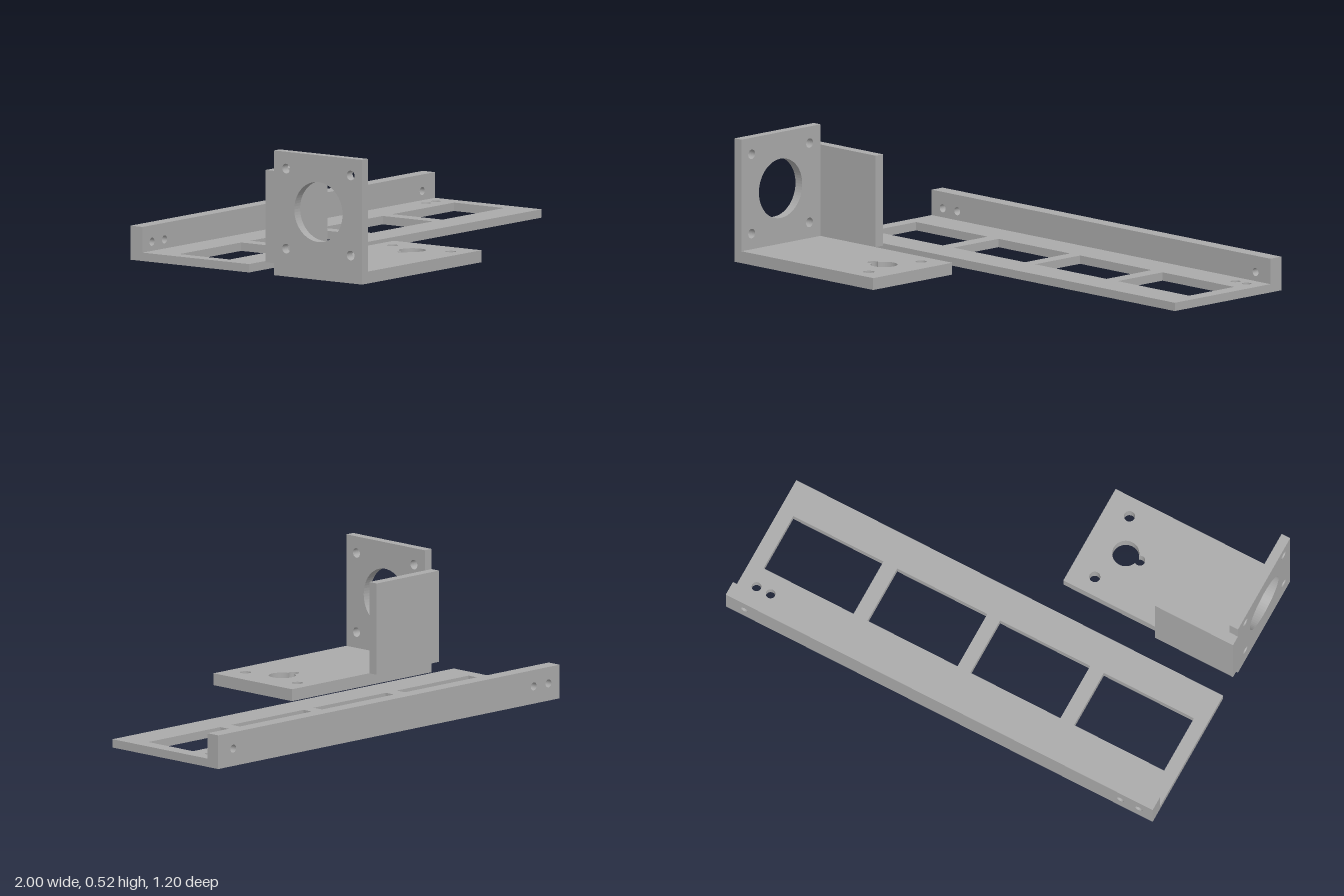
import * as THREE from 'three';

const greyMetal = new THREE.MeshStandardMaterial({ color: 0xaaaaaa });
greyMetal.name = 'greyMetal';

// Closed rectangle on a Shape or Path
function rect(path, x0, y0, x1, y1) {
  path.moveTo(x0, y0);
  path.lineTo(x1, y0);
  path.lineTo(x1, y1);
  path.lineTo(x0, y1);
  path.closePath();
  return path;
}

const windowHole = (x0, y0, x1, y1) => rect(new THREE.Path(), x0, y0, x1, y1);
const roundHole = (x, y, r) => new THREE.Path().absarc(x, y, r, 0, Math.PI * 2, false);

// Large round hole merged with a small one on its -x side
function keyhole(x, y, R, r, d) {
  const a = (d * d + R * R - r * r) / (2 * d);
  const h = Math.sqrt(R * R - a * a);
  const big = Math.atan2(h, a);
  const small = Math.atan2(h, d - a);
  const path = new THREE.Path();
  path.absarc(x, y, R, -Math.PI + big, Math.PI - big, false);
  path.absarc(x - d, y, r, small, Math.PI * 2 - small, false);
  return path;
}

// Flat plate with holes, extruded along z
function plate(name, bounds, depth, holes) {
  const shape = rect(new THREE.Shape(), ...bounds);
  shape.holes.push(...holes);
  const geometry = new THREE.ExtrudeGeometry(shape, { depth, bevelEnabled: false, curveSegments: 32 });
  const mesh = new THREE.Mesh(geometry, greyMetal);
  mesh.name = name;
  return mesh;
}

// Long angled rail: slotted floor and upright back flange
function createRail() {
  const rail = new THREE.Group();
  rail.name = 'slottedRail';

  // Floor is drawn as (x, -z), then laid flat
  const windows = [-0.941, -0.455, 0.027, 0.514].map(x => windowHole(x, 0.13, x + 0.422, 0.39));
  const floorHoles = [0.857, 0.923].map(x => roundHole(x, 0.475, 0.02));
  const floor = plate('railFloor', [-1, -0.015, 1, 0.537], 0.035, [...windows, ...floorHoles]);
  floor.geometry.rotateX(-Math.PI / 2);

  const flangeHoles = [-0.935, -0.849, 0.912].map(x => roundHole(x, 0.073, 0.017));
  const flange = plate('railFlange', [-1, 0, 1, 0.142], 0.063, flangeHoles);
  flange.position.z = -0.6;

  rail.add(floor, flange);
  return rail;
}

// Motor bracket: base, upright mounting wall and rear side plate
function createBracket() {
  const bracket = new THREE.Group();
  bracket.name = 'motorBracket';

  const base = plate('bracketBase', [-0.96, -0.6, -0.182, -0.144], 0.05, [
    keyhole(-0.353, -0.37, 0.056, 0.022, 0.066),
    roundHole(-0.289, -0.219, 0.023),
    roundHole(-0.289, -0.521, 0.023),
  ]);
  base.geometry.rotateX(-Math.PI / 2);

  // Wall is drawn as (-z, y), then turned to face sideways
  const wallHoles = [roundHole(-0.374, 0.283, 0.125)];
  for (const z of [0.207, 0.541])
    for (const y of [0.116, 0.45]) wallHoles.push(roundHole(-z, y, 0.02));
  const wall = plate('mountingWall', [-0.6, 0, -0.144, 0.52], 0.04, wallHoles);
  wall.geometry.rotateY(Math.PI / 2);
  wall.position.x = -1;

  const side = new THREE.Mesh(new THREE.BoxGeometry(0.365, 0.385, 0.043), greyMetal);
  side.name = 'sidePlate';
  side.position.set(-0.8175, 0.2425, 0.1225);

  bracket.add(base, wall, side);
  return bracket;
}

export function createModel() {
  const model = new THREE.Group();
  model.name = 'bracketAndRail';
  model.add(createRail(), createBracket());
  return model;
}
